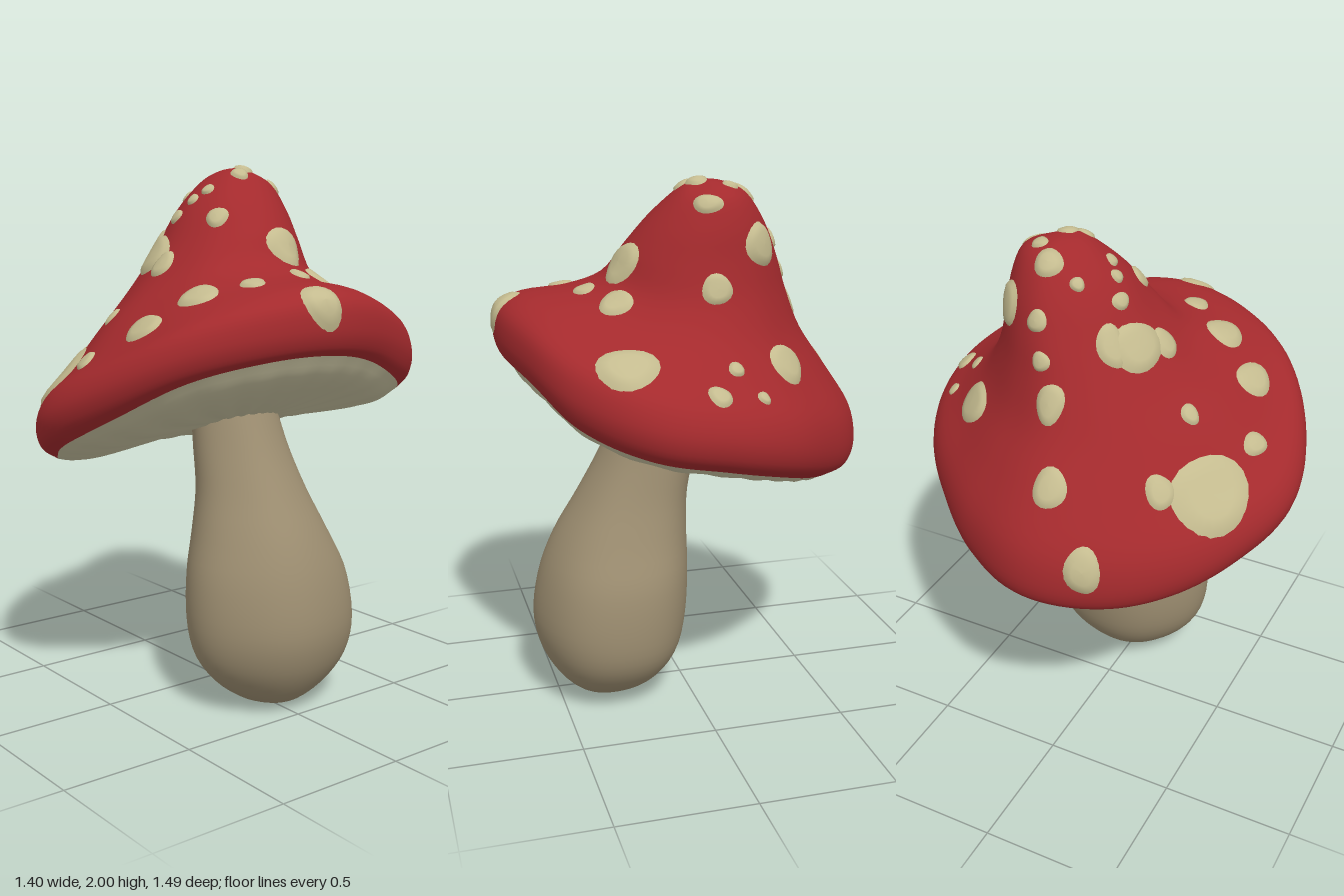
import * as THREE from 'three';

const SEG = 128;

// Smooth closed function of angle through evenly spaced values
function around(values) {
  const curve = new THREE.CatmullRomCurve3(values.map(v => new THREE.Vector3(v, 0, 0)), true, 'catmullrom', 0.5);
  return th => curve.getPoint(th / (Math.PI * 2)).x;
}

// Surface lofted through rings; each ring is [xmin, y, xmax, y, zmin, y, zmax, y].
// bend(theta, t) reshapes the outline, lift(theta, t) raises the surface.
function loft(rings, steps, bend, lift = () => 0) {
  const curves = [0, 2, 4, 6].map(k =>
    new THREE.CatmullRomCurve3(rings.map(r => new THREE.Vector3(r[k], r[k + 1], 0)), false, 'catmullrom', 0.5));
  const pos = [], index = [];
  for (let j = 0; j <= steps; j++) {
    const t = j / steps;
    const [a, b, c, d] = curves.map(q => q.getPoint(t));
    for (let i = 0; i < SEG; i++) {
      const th = (i / SEG) * Math.PI * 2, cs = Math.cos(th), sn = Math.sin(th), f = bend(th, t);
      pos.push(
        (a.x + b.x) / 2 + ((b.x - a.x) / 2) * cs * f,
        cs * cs * (a.y + b.y) / 2 + sn * sn * (c.y + d.y) / 2 + cs * (b.y - a.y) / 2 + sn * (d.y - c.y) / 2 + lift(th, t),
        (c.x + d.x) / 2 + ((d.x - c.x) / 2) * sn * f);
      if (j < steps) {
        const n = (i + 1) % SEG, p = j * SEG;
        index.push(p + i, p + SEG + i, p + n, p + n, p + SEG + i, p + SEG + n);
      }
    }
  }
  return finish(pos, index);
}

function finish(pos, index) {
  const g = new THREE.BufferGeometry();
  g.setAttribute('position', new THREE.Float32BufferAttribute(pos, 3));
  g.setIndex(index);
  g.computeVertexNormals();
  return g;
}

// Domed patch that hugs the cap around the point below (x, z)
function wart(cap, x, z, ru, rv = ru, seed = 0) {
  const ray = new THREE.Raycaster();
  ray.set(new THREE.Vector3(x, 3, z), new THREE.Vector3(0, -1, 0));
  const hit = ray.intersectObject(cap)[0];
  if (!hit) return null;
  const n = hit.face.normal.clone();
  const u = new THREE.Vector3(0, 1, 0).cross(n).normalize(), v = n.clone().cross(u);
  const down = n.clone().negate(), K = 4, M = 20, pos = [], index = [];
  const height = 0.008 + 0.1 * Math.min(ru, rv, 0.1);
  for (let k = 0; k <= K; k++) {
    const s = k / K;
    for (let i = 0; i < M; i++) {
      const ph = (i / M) * Math.PI * 2;
      const w = s * (1 + 0.05 * Math.sin(3 * ph + seed) + 0.03 * Math.sin(2 * ph + seed * 2));
      const p = hit.point.clone().addScaledVector(u, ru * w * Math.cos(ph)).addScaledVector(v, rv * w * Math.sin(ph));
      ray.set(p.clone().addScaledVector(n, 0.12), down);
      const h = ray.intersectObject(cap)[0];
      const q = h ? h.point : p.addScaledVector(n, -0.05);
      q.addScaledVector(n, height * Math.sqrt(1 - s * s) - (k === K ? 0.008 : 0));
      pos.push(q.x, q.y, q.z);
      if (k < K) {
        const a = k * M + i, b = k * M + (i + 1) % M;
        index.push(a, a + M, b + M);
        if (k > 0) index.push(a, b + M, b);
      }
    }
  }
  return finish(pos, index);
}

export function createModel() {
  const model = new THREE.Group();
  model.name = 'mushroom';
  const add = (name, geometry, color, parent = model) => {
    const mesh = new THREE.Mesh(geometry, new THREE.MeshStandardMaterial({ color }));
    mesh.name = name;
    parent.add(mesh);
    return mesh;
  };

  // Uneven rim: outline factor and height offset, from left (+x) round by the front
  const outline = around([1, 1, 1.01, 1, 1, 0.93, 0.925, 0.965, 1, 0.915, 0.865, 0.91, 0.985, 1.06, 1.04, 0.985]);
  const sway = around([0, 0.02, 0.03, 0, -0.02, -0.03, -0.03, -0.02, 0, 0, 0, 0, -0.02, -0.06, -0.07, -0.03]);
  const edge = [-0.63, 0.865, 0.65, 1.345, -0.67, 1.08, 0.67, 1.04];

  // Cap: tilted rim rising to an off-centre blunt peak
  const cap = add('cap', loft([
    edge,
    [-0.685, 0.90, 0.68, 1.375, -0.725, 1.12, 0.725, 1.075],
    [-0.70, 0.985, 0.695, 1.44, -0.74, 1.20, 0.74, 1.15],
    [-0.67, 1.11, 0.675, 1.53, -0.70, 1.29, 0.70, 1.23],
    [-0.565, 1.27, 0.59, 1.58, -0.60, 1.37, 0.60, 1.305],
    [-0.46, 1.42, 0.42, 1.60, -0.48, 1.47, 0.46, 1.425],
    [-0.39, 1.57, 0.30, 1.65, -0.40, 1.59, 0.31, 1.55],
    [-0.34, 1.70, 0.23, 1.75, -0.36, 1.72, 0.19, 1.69],
    [-0.28, 1.83, 0.15, 1.85, -0.335, 1.84, 0.09, 1.84],
    [-0.20, 1.94, 0.06, 1.94, -0.29, 1.94, -0.01, 1.94],
    [-0.12, 1.98, 0.00, 1.98, -0.20, 1.98, -0.08, 1.98],
    [-0.051, 1.99, -0.049, 1.99, -0.141, 1.99, -0.139, 1.99],
  ], 44, (th, t) => 1 + (outline(th) - 1) * (1 - t), (th, t) => sway(th) * (1 - t)), 0xa42a2d);

  // Underside: shallow bulge with radial gills
  add('gills', loft([
    [0.099, 1.06, 0.101, 1.06, -0.011, 1.06, -0.009, 1.06],
    [-0.16, 0.98, 0.28, 1.10, -0.24, 1.04, 0.22, 1.02],
    [-0.42, 0.895, 0.46, 1.18, -0.48, 1.03, 0.47, 0.99],
    [-0.565, 0.86, 0.59, 1.26, -0.60, 1.04, 0.60, 1.01],
    edge,
  ], 20, (th, t) => 1 + (outline(th) - 1) * t,
  (th, t) => sway(th) * t + 0.004 * Math.sin(Math.PI * t) * Math.sin(26 * th + 1.5 * Math.sin(3 * th))), 0xc8c2a0);

  // Stalk: leaning, swollen towards the base
  add('stalk', loft([
    [0.309, 0.00, 0.311, 0.00, -0.031, 0.00, -0.029, 0.00],
    [0.25, 0.005, 0.37, 0.005, -0.09, 0.005, 0.03, 0.005],
    [0.175, 0.03, 0.44, 0.03, -0.165, 0.03, 0.105, 0.03],
    [0.09, 0.10, 0.51, 0.10, -0.265, 0.10, 0.20, 0.10],
    [0.025, 0.20, 0.565, 0.20, -0.335, 0.20, 0.27, 0.20],
    [-0.005, 0.33, 0.588, 0.33, -0.353, 0.33, 0.295, 0.33],
    [-0.015, 0.50, 0.56, 0.50, -0.333, 0.50, 0.28, 0.50],
    [-0.015, 0.65, 0.50, 0.65, -0.272, 0.65, 0.235, 0.65],
    [-0.02, 0.80, 0.41, 0.80, -0.22, 0.80, 0.19, 0.80],
    [-0.05, 0.95, 0.325, 0.95, -0.19, 0.95, 0.165, 0.95],
    [-0.06, 1.01, 0.25, 1.11, -0.175, 1.07, 0.15, 1.06],
  ], 36, th => 1 + 0.012 * Math.sin(5 * th)), 0x9c8d70);

  // Warts: [x, z, half width, half length down the slope]
  const warts = new THREE.Group();
  warts.name = 'warts';
  model.add(warts);
  [
    [-0.25, 0.52, 0.17, 0.16], [-0.37, 0.38, 0.06, 0.07], [0, 0.58, 0.06, 0.05], [-0.13, 0.38, 0.04, 0.045],
    [0.22, 0.48, 0.09, 0.08], [0.32, 0.32, 0.09, 0.08], [0.42, 0.16, 0.05, 0.055], [0.1, 0.07, 0.05],
    [-0.14, 0.18, 0.12, 0.1], [-0.02, 0.23, 0.06, 0.065], [-0.22, 0.12, 0.06, 0.09],
    [-0.11, 0.1, 0.045, 0.035], [-0.06, 0.06, 0.03], [-0.02, 0.02, 0.03], [-0.2, -0.02, 0.03],
    [-0.13, -0.2, 0.035], [-0.2, -0.13, 0.06], [-0.02, -0.15, 0.045], [0.02, -0.1, 0.04],
    [-0.02, -0.29, 0.06, 0.045], [-0.03, -0.38, 0.065, 0.06], [-0.22, -0.28, 0.09, 0.09],
    [0.25, -0.13, 0.1, 0.09], [0.3, -0.25, 0.07, 0.07], [0.38, -0.09, 0.045], [0.67, 0.06, 0.085, 0.1],
    [0.33, -0.55, 0.12, 0.11], [0.04, -0.65, 0.05], [-0.05, -0.54, 0.035], [-0.13, -0.6, 0.03],
    [-0.28, -0.41, 0.1, 0.09], [-0.55, 0.05, 0.07, 0.08], [-0.64, 0.22, 0.07, 0.1],
    [-0.41, -0.02, 0.06, 0.08], [-0.36, -0.08, 0.04], [-0.31, -0.12, 0.045],
  ].forEach(([x, z, ru, rv], i) => {
    const g = wart(cap, x, z, ru, rv, i * 1.7);
    if (g) add('wart', g, 0xc4bb8f, warts);
  });
  return model;
}
